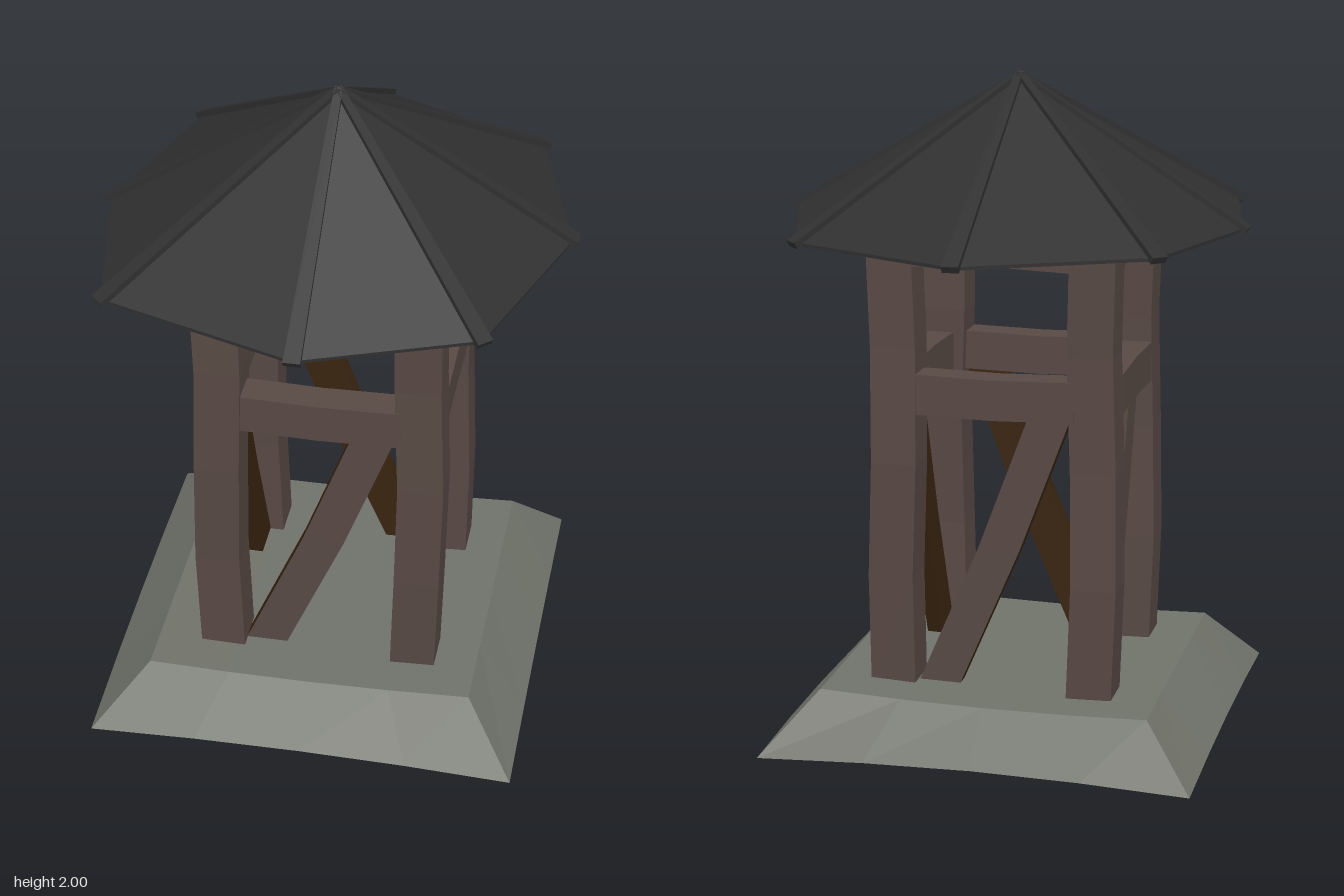
import * as THREE from 'three';

const material = (name, color) => {
  const m = new THREE.MeshStandardMaterial({ color, flatShading: true });
  m.name = name;
  return m;
};

// Move every vertex by a rule, then rebuild flat normals
function warp(geometry, rule) {
  const g = geometry.index ? geometry.toNonIndexed() : geometry;
  const p = g.attributes.position;
  const v = new THREE.Vector3();
  for (let i = 0; i < p.count; i++) {
    v.fromBufferAttribute(p, i);
    rule(v);
    p.setXYZ(i, v.x, v.y, v.z);
  }
  g.computeVertexNormals();
  return g;
}

export function createModel() {
  const stone = material('grey green stone', 0x70736a);
  const wood = material('weathered wood', 0x584944);
  const darkWood = material('dark brown wood', 0x3a2510);
  const slate = material('charcoal roof', 0x303030);

  const model = new THREE.Group();
  model.name = 'watchtower';
  const add = (name, geometry, mat, parent = model) => {
    const mesh = new THREE.Mesh(geometry, mat);
    mesh.name = name;
    parent.add(mesh);
    return mesh;
  };

  // Sloping, slightly uneven stone base
  add('base', warp(new THREE.BoxGeometry(2, 2, 2, 4, 1, 4), (v) => {
    const { x, z } = v;
    if (v.y > 0) {
      v.set(x * 0.5 - 0.01, 0.165 + 0.012 * x * x + 0.007 * x + 0.006 * z, z * 0.5 + 0.02);
    } else {
      const edge = Math.max(Math.abs(x), Math.abs(z));
      v.set(x * 0.657 - 0.013, edge === 1 ? 0.018 * (1 - x * x * z * z) : 0.01, z * 0.652 + 0.018);
      if (x < 0 && z === -1) v.z += 0.015 * x;
    }
  }), stone);

  // Wooden frame, centred a little off the middle
  const frame = new THREE.Group();
  frame.name = 'frame';
  frame.position.set(-0.005, 0, 0.025);
  model.add(frame);
  const halfX = 0.305, halfZ = 0.297;

  // Four crooked corner posts
  [[-1, 1], [1, 1], [1, -1], [-1, -1]].forEach(([sx, sz], i) => {
    const post = warp(new THREE.BoxGeometry(0.138, 1.41, 0.134, 1, 4, 1), (v) => {
      const y = v.y;
      v.x += sx * halfX + 0.009 * Math.sin(y * 5 + i * 2);
      v.z += sz * halfZ + 0.009 * Math.sin(y * 5 + i * 2 + 1);
      v.y += 0.855;
    });
    add('cornerPost', post, wood, frame);
  });

  // Each side carries two rails and one diagonal brace
  for (let i = 0; i < 4; i++) {
    const side = new THREE.Group();
    side.name = ['frontSide', 'leftSide', 'backSide', 'rightSide'][i];
    side.rotation.y = i * Math.PI / 2;
    frame.add(side);
    const out = i % 2 ? halfX : halfZ;

    const rail = (name, bottom, top, bow) => add(name,
      warp(new THREE.BoxGeometry(0.5, top - bottom, 0.1, 2, 1, 1), (v) => {
        v.y += (bottom + top) / 2 + (v.x === 0 ? bow : 0);
        v.z += out + 0.013;
      }), wood, side);
    rail('middleRail', 1.01, 1.132, i % 2 ? 0.008 : -0.006);
    rail('topRail', 1.457, 1.55, 0.01);

    // Brace leans by shearing; its outer face is weathered
    const brace = new THREE.BoxGeometry(0.128, 0.87, 0.05, 1, 2, 1);
    brace.translate(0, 0.595, out - 0.005);
    const position = brace.attributes.position;
    for (let k = 0; k < position.count; k++) {
      const lean = (position.getY(k) - 0.595) * 0.4;
      const bend = Math.abs(position.getY(k) - 0.595) < 0.01 ? 0.012 : 0;
      position.setX(k, position.getX(k) + lean + bend);
    }
    brace.computeVertexNormals();
    add('diagonalBrace', brace, [darkWood, darkWood, darkWood, darkWood, wood, darkWood], side);
  }

  // Eight-sided roof with an uneven rim
  const roof = new THREE.Group();
  roof.name = 'roof';
  model.add(roof);
  const apex = new THREE.Vector3(-0.007, 1.985, 0.018);
  const rim = [
    [0, 1.545, 0.745], [0.5, 1.55, 0.56], [0.69, 1.57, 0.03], [0.53, 1.55, -0.52],
    [0.005, 1.545, -0.75], [-0.53, 1.55, -0.505], [-0.695, 1.55, 0.01], [-0.59, 1.55, 0.555],
  ].map((p) => new THREE.Vector3(...p));
  const under = new THREE.Vector3(0, 1.54, 0.02);
  const faces = [];
  rim.forEach((a, i) => {
    const b = rim[(i + 1) % rim.length];
    const a2 = a.clone().setY(a.y - 0.01), b2 = b.clone().setY(b.y - 0.01);
    faces.push(a, b, apex, a2, b2, b, a2, b, a, b2, a2, under);
  });
  const shell = new THREE.BufferGeometry().setFromPoints(faces);
  shell.computeVertexNormals();
  add('roofShell', shell, slate, roof);

  // Tapered ribs along the ridges
  rim.forEach((corner) => {
    const length = corner.distanceTo(apex) + 0.012;
    const rib = warp(new THREE.BoxGeometry(1, 0.022, 1), (v) => {
      v.x *= v.z > 0 ? 0.05 : 0.024;
      v.z = (v.z + 0.5) * length;
    });
    const mesh = add('roofRib', rib, slate, roof);
    mesh.position.copy(apex);
    mesh.lookAt(corner);
  });

  // Small cap closing the peak
  const cap = add('roofPeak', new THREE.ConeGeometry(0.035, 0.03, 8), slate, roof);
  cap.position.set(apex.x, 1.985, apex.z);

  return model;
}
